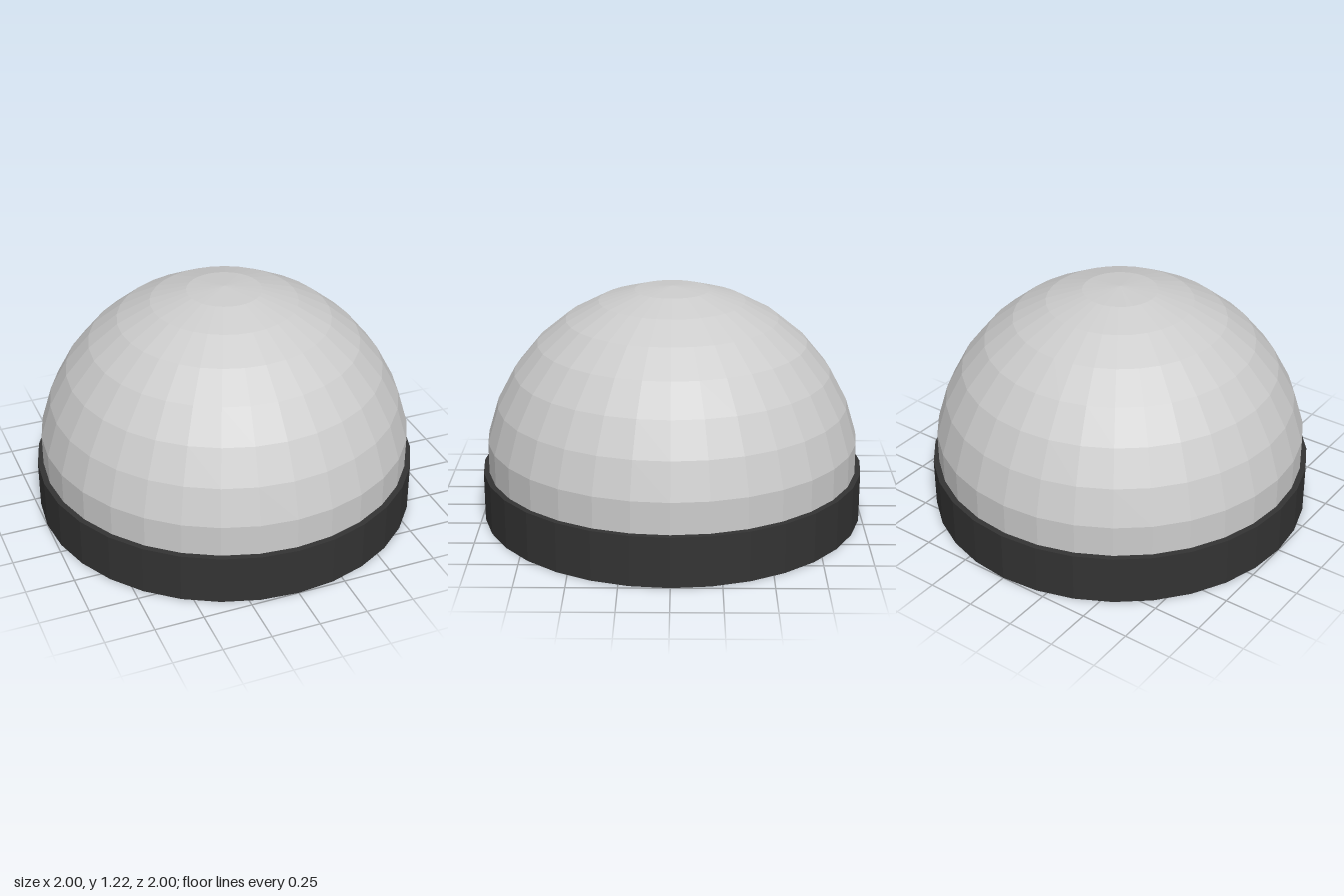
import * as THREE from 'three';

const SIDES = 32;
const BASE_HEIGHT = 0.26;

export function createModel() {
  const model = new THREE.Group();
  model.name = 'domeOnBase';

  // Dark round base, closed at top and bottom
  const base = new THREE.Mesh(
    new THREE.CylinderGeometry(1, 1, BASE_HEIGHT, SIDES),
    new THREE.MeshStandardMaterial({ color: 0x333333, flatShading: true })
  );
  base.name = 'base';
  base.position.y = BASE_HEIGHT / 2;
  model.add(base);

  // Faceted dome: a short straight collar, then spherical rings up to the crown
  const radius = 0.989, centreY = 0.231, rings = 7, step = Math.PI / 16;
  const profile = [new THREE.Vector2(radius * Math.sin(rings * step), BASE_HEIGHT)];
  for (let i = rings; i >= 0; i--) {
    profile.push(new THREE.Vector2(radius * Math.sin(i * step), centreY + radius * Math.cos(i * step)));
  }
  const dome = new THREE.Mesh(
    new THREE.LatheGeometry(profile, SIDES),
    new THREE.MeshStandardMaterial({ color: 0xcccccc, flatShading: true, side: THREE.DoubleSide })
  );
  dome.name = 'dome';
  model.add(dome);

  return model;
}
